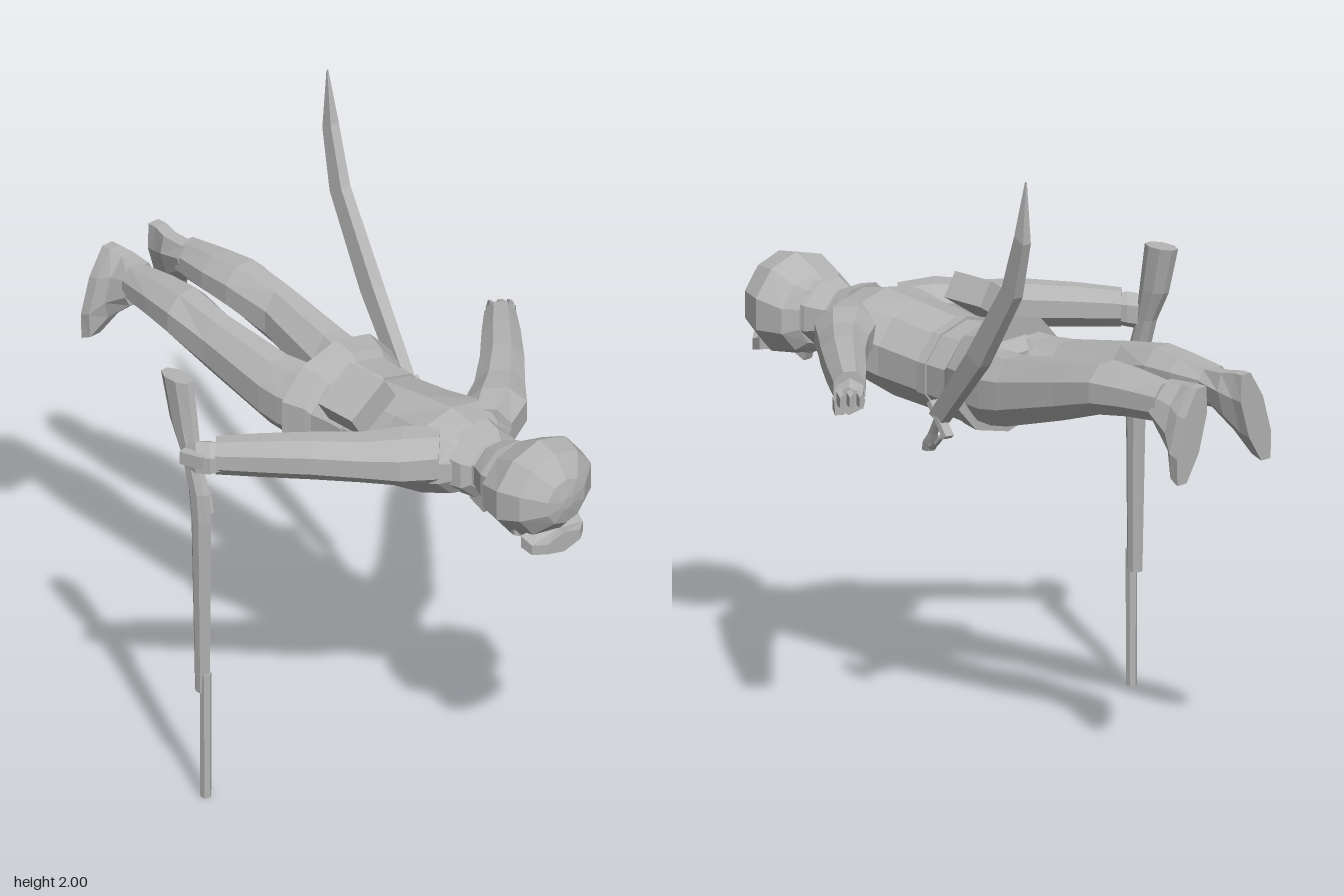
import * as THREE from 'three';

const grey = new THREE.MeshStandardMaterial({ color: 0xb4b4b4, flatShading: true });
grey.name = 'stone grey';
const V = (a) => new THREE.Vector3(...a);

// Closed skin over cross-sections [x, y, z, radiusU, radiusV] lying in the u/v plane
function loft(name, sections, { u = [1, 0, 0], v = [0, 1, 0], n = 8, side = 1 } = {}) {
  const U = V(u), W = V(v), k = 1 / Math.cos(Math.PI / n);
  const rings = sections.map(([x, y, z, ru, rv]) => Array.from({ length: n }, (_, i) => {
    const a = (i + 0.5) / n * Math.PI * 2;
    const p = V([x, y, z]).addScaledVector(U, ru * k * Math.cos(a)).addScaledVector(W, rv * k * Math.sin(a));
    p.x *= side;
    return p;
  }));
  const tris = [];
  const mid = (s) => V([s[0] * side, s[1], s[2]]);
  const first = mid(sections[0]), last = mid(sections[sections.length - 1]);
  for (let i = 0; i < n; i++) {
    const j = (i + 1) % n;
    for (let r = 0; r < rings.length - 1; r++) {
      const a = rings[r], b = rings[r + 1];
      tris.push([a[i], a[j], b[j]], [a[i], b[j], b[i]]);
    }
    tris.push([first, rings[0][j], rings[0][i]]);
    tris.push([last, rings[rings.length - 1][i], rings[rings.length - 1][j]]);
  }
  // Turn every face outwards
  const c = new THREE.Vector3();
  const volume = tris.reduce((s, t) => s + t[0].dot(c.crossVectors(t[1], t[2])), 0);
  const pts = tris.flatMap((t) => (volume < 0 ? [t[0], t[2], t[1]] : t));
  const g = new THREE.BufferGeometry().setFromPoints(pts);
  g.computeVertexNormals();
  const m = new THREE.Mesh(g, grey);
  m.name = name;
  return m;
}

function box(name, size, pos, rot = [0, 0, 0]) {
  const m = new THREE.Mesh(new THREE.BoxGeometry(...size), grey);
  m.name = name;
  m.position.set(...pos);
  m.rotation.set(...rot);
  return m;
}

export function createModel() {
  const model = new THREE.Group();
  model.name = 'proneSoldier';
  const add = (...parts) => model.add(...parts);

  // Jacket with belt line and flared hem
  add(loft('jacket', [
    [0, 1.22, 0.63, 0.08, 0.08], [0, 1.215, 0.57, 0.16, 0.11], [0, 1.21, 0.47, 0.215, 0.135],
    [0, 1.18, 0.33, 0.185, 0.15], [0, 1.165, 0.16, 0.18, 0.145], [0, 1.165, 0.03, 0.195, 0.155],
    [0, 1.175, 0.01, 0.205, 0.17], [0, 1.18, -0.06, 0.235, 0.18], [0, 1.18, -0.06, 0.19, 0.13],
  ], { n: 10 }));
  add(loft('belt', [[0, 1.165, 0.16, 0.187, 0.152], [0, 1.165, 0.12, 0.19, 0.156]], { n: 10 }));
  add(loft('hips', [[0, 1.175, 0, 0.18, 0.13], [0, 1.17, -0.07, 0.195, 0.12], [0, 1.17, -0.11, 0.17, 0.09]]));

  // Neck, collar and knotted scarf
  add(loft('neck', [[0, 1.22, 0.6, 0.09, 0.09], [0, 1.22, 0.66, 0.085, 0.08],
    [0, 1.22, 0.72, 0.115, 0.1], [0, 1.22, 0.79, 0.12, 0.11]]));
  add(loft('collar', [[0, 1.22, 0.57, 0.13, 0.115], [0, 1.215, 0.63, 0.115, 0.105], [0, 1.215, 0.65, 0.09, 0.08]]));
  add(box('scarfKnot', [0.09, 0.06, 0.07], [0, 1.11, 0.64], [0.4, 0, 0]));

  // Head in a rounded cap, facing down
  add(loft('head', [[0.012, 1.215, 0.735, 0.11, 0.1], [0.015, 1.215, 0.76, 0.16, 0.125],
    [0.015, 1.225, 0.85, 0.183, 0.158], [0.01, 1.235, 0.93, 0.155, 0.135], [0.005, 1.23, 0.985, 0.08, 0.075],
    [0, 1.23, 0.998, 0.02, 0.02]], { n: 10 }));
  add(loft('jaw', [[0, 1.16, 0.72, 0.05, 0.035], [0, 1.14, 0.77, 0.09, 0.06], [0, 1.14, 0.88, 0.12, 0.07]]));
  add(loft('capBrim', [[0, 1.1, 0.91, 0.12, 0.035], [-0.005, 1.085, 0.955, 0.11, 0.03], [-0.01, 1.09, 0.992, 0.07, 0.03]], { n: 6 }));
  add(box('nose', [0.035, 0.04, 0.05], [0, 1.07, 0.83], [-0.4, 0, 0]));

  for (const side of [1, -1]) {
    const s = side > 0 ? 'left' : 'right';
    // Trouser leg
    add(loft(s + 'Leg', [
      [0.1, 1.175, 0, 0.09, 0.115], [0.103, 1.17, -0.12, 0.098, 0.115], [0.117, 1.18, -0.2, 0.087, 0.11],
      [0.132, 1.24, -0.45, 0.07, 0.095], [0.125, 1.28, -0.61, 0.083, 0.082],
      [0.118, 1.285, -0.72, 0.075, 0.072], [0.115, 1.283, -0.86, 0.053, 0.062],
    ], { side }));
    // Boot turned out, sole facing back
    add(loft(s + 'Boot', [
      [0.113, 1.283, -0.84, 0.054, 0.062], [0.12, 1.25, -0.92, 0.053, 0.1],
      [0.142, 1.215, -0.965, 0.052, 0.142], [0.145, 1.207, -1, 0.05, 0.15],
    ], { side, v: [-0.3, 1, 0] }));
    // Sleeve
    add(loft(s + 'Arm', [
      [0.1, 1.235, 0.52, 0.08, 0.09], [0.2, 1.25, 0.455, 0.1, 0.085], [0.3, 1.25, 0.37, 0.08, 0.073],
      [0.41, 1.255, 0.265, 0.07, 0.07], [0.52, 1.25, 0.145, 0.062, 0.065], [0.615, 1.243, 0.04, 0.05, 0.058],
    ], { side, u: [0.73, 0, 0.68] }));
  }

  // Open left hand
  add(loft('leftHand', [[0.59, 1.235, 0.065, 0.035, 0.035], [0.63, 1.235, 0.025, 0.045, 0.045],
    [0.665, 1.225, -0.005, 0.045, 0.04]], { n: 6, u: [0.7, 0, 0.7] }));
  for (let i = 0; i < 3; i++) {
    add(loft('leftFinger' + (i + 1), [[0.63 + i * 0.024, 1.235, -0.015 + i * 0.018, 0.015, 0.03],
      [0.652 + i * 0.024, 1.23, -0.05 + i * 0.019, 0.012, 0.022]], { n: 5 }));
  }
  add(box('leftThumb', [0.03, 0.04, 0.07], [0.665, 1.2, 0.04], [0, -0.7, 0]));

  // Right hand closed around the stock
  add(loft('rightHand', [[-0.595, 1.235, 0.065, 0.035, 0.04], [-0.63, 1.235, 0.03, 0.055, 0.05],
    [-0.655, 1.23, -0.01, 0.05, 0.05], [-0.66, 1.225, -0.045, 0.035, 0.035]], { n: 6, u: [0.7, 0, -0.7] }));
  add(box('rightThumb', [0.03, 0.045, 0.08], [-0.685, 1.245, 0.01], [0, 0.3, 0]));

  // Long gun hanging upright, muzzle on the ground
  const flat = { u: [1, 0, 0], v: [0, 0, 1] };
  add(loft('gunBarrel', [[-0.64, 0, 0.02, 0.015, 0.016], [-0.64, 0.45, 0.02, 0.016, 0.017]], { ...flat, n: 6 }));
  add(loft('gunStock', [
    [-0.64, 0.38, 0.005, 0.02, 0.025], [-0.64, 1.0, 0, 0.026, 0.034], [-0.64, 1.1, -0.01, 0.026, 0.036],
    [-0.637, 1.22, -0.05, 0.026, 0.034], [-0.634, 1.32, -0.085, 0.03, 0.052], [-0.633, 1.472, -0.118, 0.032, 0.06],
  ], { ...flat, n: 8 }));
  add(box('gunLock', [0.02, 0.09, 0.03], [-0.612, 1.06, -0.005], [-0.2, 0, 0]));

  // Curved sword hanging at the left hip
  add(loft('swordBlade', [
    [0.283, 1.09, -0.03, 0.018, 0.027], [0.335, 1.34, -0.25, 0.02, 0.034], [0.372, 1.61, -0.435, 0.017, 0.03],
    [0.396, 1.8, -0.503, 0.015, 0.022], [0.398, 1.995, -0.52, 0.002, 0.002],
  ], { u: [1, 0, 0.2], v: [0, 0.5, 0.87], n: 4 }));
  add(loft('swordGrip', [[0.25, 0.965, 0.045, 0.02, 0.02], [0.255, 0.995, 0.035, 0.022, 0.022],
    [0.268, 1.03, 0.01, 0.014, 0.015], [0.287, 1.12, -0.05, 0.016, 0.018]], { ...flat, n: 6 }));
  add(box('swordGuard', [0.035, 0.13, 0.018], [0.287, 1.09, -0.04], [-0.6 + 1.3, 0, 0.1]));
  add(new THREE.Mesh(new THREE.TubeGeometry(new THREE.QuadraticBezierCurve3(
    V([0.25, 0.975, 0.04]), V([0.315, 0.99, -0.03]), V([0.295, 1.06, -0.07])), 5, 0.009, 5), grey));
  model.children[model.children.length - 1].name = 'knuckleBow';

  // Pouch strapped on the lower back
  add(box('pouch', [0.17, 0.09, 0.155], [-0.165, 1.335, 0.208], [0, 0, 0.57]));
  return model;
}
